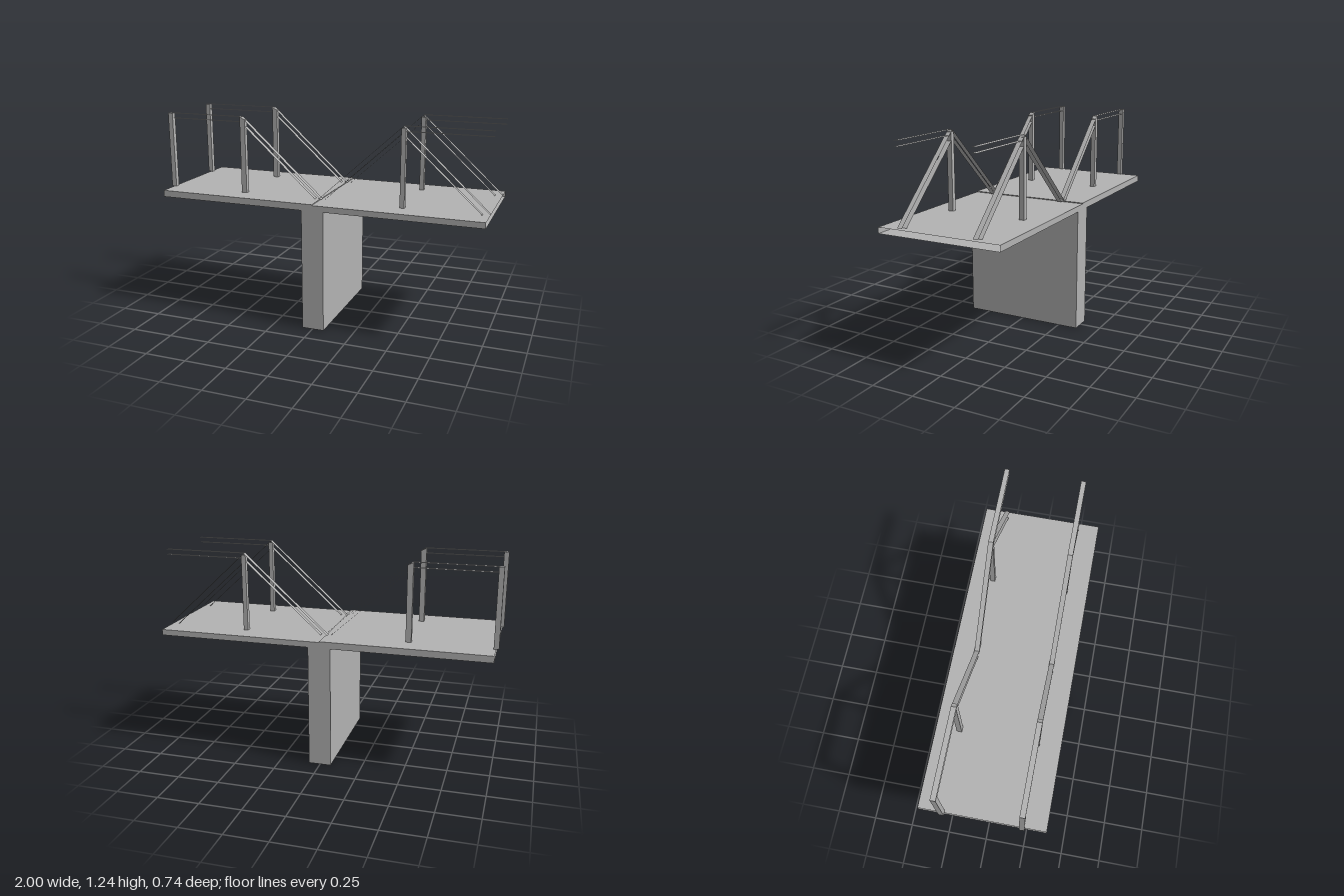
import * as THREE from 'three';

export function createModel() {
  const model = new THREE.Group();
  const concrete = new THREE.MeshStandardMaterial({ color: 0xb2b2b2, side: THREE.DoubleSide });
  concrete.name = 'concreteGrey';

  function add(parent, name, geometry) {
    const mesh = new THREE.Mesh(geometry, concrete);
    mesh.name = name;
    parent.add(mesh);
    return mesh;
  }

  // Thin open sheet: a path of [x, y] points swept across z
  function sheet(path, z0, z1) {
    const pos = [];
    for (let i = 0; i < path.length - 1; i++) {
      const [ax, ay] = path[i], [bx, by] = path[i + 1];
      pos.push(ax, ay, z1, bx, by, z1, bx, by, z0);
      pos.push(ax, ay, z1, bx, by, z0, ax, ay, z0);
    }
    const g = new THREE.BufferGeometry();
    g.setAttribute('position', new THREE.Float32BufferAttribute(pos, 3));
    g.computeVertexNormals();
    return g;
  }

  const half = 0.37, bottom = 0.735, topL = 0.775, topR = 0.77;
  const pierL = -0.065, pierR = 0.07;

  // Hollow deck, open at both ends
  const deck = new THREE.Group();
  deck.name = 'deck';
  model.add(deck);
  add(deck, 'deckTop', sheet([[-0.987, topL], [0, topL], [0, topR], [0.997, topR]], -half, half));
  add(deck, 'deckUndersideRight', sheet([[pierL, bottom], [-0.987, bottom]], -half, half));
  add(deck, 'deckUndersideLeft', sheet([[0.997, bottom], [pierR, bottom]], -half, half));

  // Pier side walls, open at the foot
  const pier = new THREE.Group();
  pier.name = 'pier';
  model.add(pier);
  add(pier, 'pierWallRight', sheet([[pierL, 0], [pierL, 0.746]], -half, half));
  add(pier, 'pierWallLeft', sheet([[pierR, 0.746], [pierR, 0]], -half, half));

  // T-shaped faces closing deck and pier at front and back
  const outline = [[-0.987, bottom], [pierL, bottom], [pierL, 0], [pierR, 0], [pierR, bottom],
    [0.997, bottom], [0.997, topR], [0, topR], [0, topL], [-0.987, topL]];
  const tShape = new THREE.Shape(outline.map(([x, y]) => new THREE.Vector2(x, y)));
  add(model, 'frontFace', new THREE.ShapeGeometry(tShape)).position.z = half;
  const back = new THREE.ShapeGeometry(tShape);
  back.scale(-1, 1, 1).rotateY(Math.PI); // same outline, facing -z
  const index = back.index.array;
  for (let i = 0; i < index.length; i += 3) {
    [index[i], index[i + 1]] = [index[i + 1], index[i]];
  }
  back.computeVertexNormals();
  add(model, 'backFace', back).position.z = -half;

  // Posts: x range, foot, height at either edge of the top
  const posts = [
    [-1.003, -0.973, 0.775, 1.237, 1.237],
    [-0.51, -0.477, 0.746, 1.238, 1.222],
    [0.488, 0.515, 0.746, 1.226, 1.226],
  ];
  // Rails: paired upper and lower strips
  const rails = [
    ['endRail', [[-1.003, 1.238], [-0.5, 1.238]], [[-1.003, 1.207], [-0.5, 1.207]]],
    ['innerBrace', [[-0.5, 1.238], [0.01, 0.775]], [[-0.5, 1.2], [-0.03, 0.775]]],
    ['risingBrace', [[-0.01, 0.775], [0.5, 1.238]], [[0.03, 0.775], [0.5, 1.2]]],
    ['outerBrace', [[0.5, 1.238], [0.997, 0.78]], [[0.5, 1.188], [0.955, 0.772]]],
    ['farRail', [[0.5, 1.238], [1, 1.238]], [[0.5, 1.207], [1, 1.207]]],
  ];

  for (const [side, z] of [['front', 0.23], ['back', -0.23]]) {
    const railing = new THREE.Group();
    railing.name = side + 'Railing';
    model.add(railing);
    const z0 = z - 0.015, z1 = z + 0.015;
    for (const [x0, x1, foot, y0, y1] of posts) {
      const g = new THREE.BoxGeometry(x1 - x0, 1, 0.03);
      const p = g.attributes.position;
      for (let i = 0; i < p.count; i++) {
        p.setY(i, p.getY(i) < 0 ? foot : p.getX(i) < 0 ? y0 : y1);
      }
      g.computeVertexNormals();
      add(railing, 'post', g).position.set((x0 + x1) / 2, 0, z);
    }
    for (const [name, upper, lower] of rails) {
      add(railing, name + 'Upper', sheet(upper, z0, z1));
      add(railing, name + 'Lower', sheet(lower, z0, z1));
    }
  }
  return model;
}
